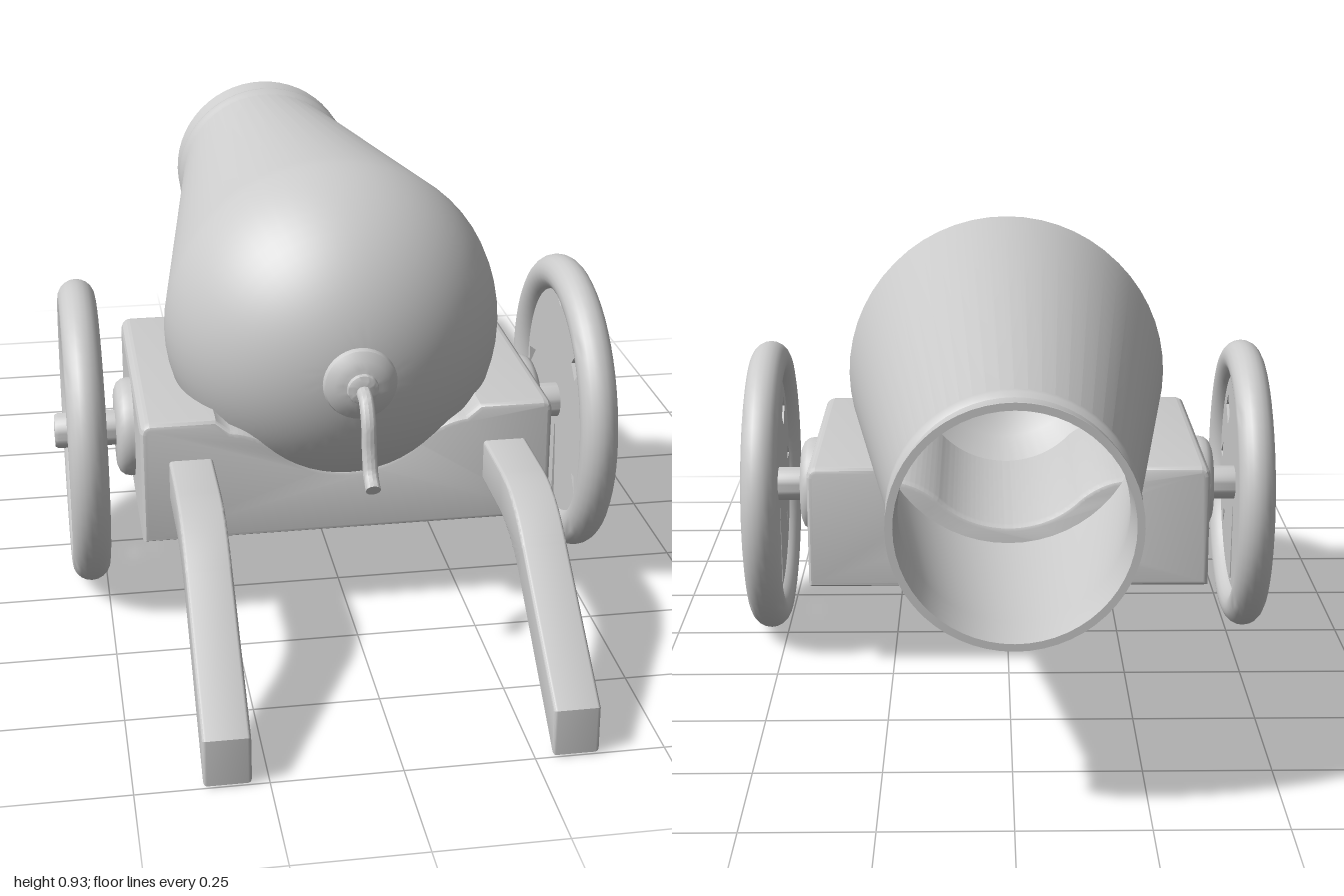
import * as THREE from 'three';
import { toCreasedNormals } from 'three/addons/utils/BufferGeometryUtils.js';

const material = new THREE.MeshStandardMaterial({ color: 0xcccccc, side: THREE.DoubleSide });
const AXIS_Y = 0.578;
const WHEEL = { x: 0.535, y: 0.332, z: 0.095 };

function add(parent, name, geometry, crease = 0.6) {
  const mesh = new THREE.Mesh(toCreasedNormals(geometry, crease), material);
  mesh.name = name;
  parent.add(mesh);
  return mesh;
}

const vectors = (pairs) => pairs.map(([x, y]) => new THREE.Vector2(x, y));

// Extrusion centred on its depth, with a bevel kept inside the outline
function slab(shape, depth, bevel = 0, bevelDepth = bevel) {
  const geometry = new THREE.ExtrudeGeometry(shape, {
    depth: depth - 2 * bevelDepth, bevelEnabled: bevel > 0, bevelSize: bevel,
    bevelThickness: bevelDepth, bevelOffset: -bevel, bevelSegments: 3, curveSegments: 48,
  });
  return geometry.translate(0, 0, -depth / 2 + bevelDepth);
}

// Turned body: hollow bore, muzzle ring, taper and round breech
function buildBarrel(group) {
  const profile = [
    [0, 0.4], [0.2, 0.33], [0.3, 0.2], [0.32, 0.1], [0.207, -0.9], [0.212, -1],
    [0.226, -1], [0.226, -0.99], [0.219, -0.975], [0.219, -0.935],
    [0.227, -0.925], [0.229, -0.913], [0.225, -0.9], [0.22, -0.89],
  ];
  const start = 0.12;
  for (let i = 0; i <= 20; i++) {
    const a = start * -1 + (Math.PI / 2 + start) * (i / 20);
    if (a < 0) continue;
    profile.push([Math.max(0, 0.358 * Math.cos(a)), 0.13 + 0.36 * Math.sin(a)]);
  }
  const barrel = add(group, 'barrel', new THREE.LatheGeometry(vectors(profile), 56).rotateX(Math.PI / 2));
  barrel.position.y = AXIS_Y;

  const knob = [
    [0.05, 0.47], [0.055, 0.492], [0.07, 0.497], [0.075, 0.507], [0.072, 0.517],
    [0.055, 0.53], [0.04, 0.535], [0.032, 0.537], [0.03, 0.545], [0.022, 0.549], [0, 0.549],
  ];
  const cap = add(group, 'breechKnob', new THREE.LatheGeometry(vectors(knob), 32).rotateX(Math.PI / 2));
  cap.position.y = AXIS_Y;

  // Drooping fuse
  const path = new THREE.CatmullRomCurve3([
    [0.535, 0.575], [0.575, 0.568], [0.602, 0.535], [0.615, 0.475], [0.632, 0.435], [0.66, 0.417],
  ].map(([z, y]) => new THREE.Vector3(0, y, z)));
  add(group, 'fuse', new THREE.TubeGeometry(path, 28, 0.015, 12));
  const end = add(group, 'fuseEnd', new THREE.CircleGeometry(0.015, 12));
  end.position.copy(path.getPoint(1));
  end.lookAt(end.position.clone().add(path.getTangent(1)));
}

// Bed with a saddle cut for the barrel
function buildBed(group) {
  const shape = new THREE.Shape();
  shape.moveTo(-0.43, 0.195);
  shape.lineTo(0.43, 0.195);
  shape.lineTo(0.43, 0.435);
  shape.quadraticCurveTo(0.43, 0.462, 0.405, 0.462);
  shape.lineTo(0.275, 0.462);
  shape.lineTo(0.245, 0.437);
  shape.quadraticCurveTo(0.195, 0.432, 0.15, 0.395);
  shape.quadraticCurveTo(0.09, 0.335, 0, 0.333);
  shape.quadraticCurveTo(-0.09, 0.335, -0.15, 0.395);
  shape.quadraticCurveTo(-0.195, 0.432, -0.245, 0.437);
  shape.lineTo(-0.275, 0.462);
  shape.lineTo(-0.405, 0.462);
  shape.quadraticCurveTo(-0.43, 0.462, -0.43, 0.435);
  const bed = add(group, 'carriageBed', slab(shape, 0.62, 0.012, 0.02));
  bed.position.z = 0.08;
}

// Bent trail leg, drawn as a side profile of z and y
function buildTrail(group, side) {
  const shape = new THREE.Shape();
  shape.moveTo(0.36, 0.29);
  shape.lineTo(0.55, 0.29);
  shape.quadraticCurveTo(0.64, 0.285, 0.72, 0.222);
  shape.lineTo(1, 0.01);
  shape.lineTo(1, 0.105);
  shape.lineTo(0.73, 0.305);
  shape.quadraticCurveTo(0.64, 0.38, 0.54, 0.38);
  shape.lineTo(0.36, 0.38);
  const leg = add(group, side > 0 ? 'leftTrail' : 'rightTrail', slab(shape, 0.09, 0.007).rotateY(-Math.PI / 2));
  leg.position.x = side * 0.328;
}

// Wheel: round rim and a thin disc pierced by small openings
function buildWheel(group, side) {
  const wheel = new THREE.Group();
  wheel.name = side > 0 ? 'leftWheel' : 'rightWheel';
  wheel.position.set(side * WHEEL.x, WHEEL.y, WHEEL.z);
  group.add(wheel);

  add(wheel, 'rim', new THREE.TorusGeometry(0.286, 0.04, 20, 56).rotateY(Math.PI / 2), 1);

  const disc = new THREE.Shape().absarc(0, 0, 0.27, 0, Math.PI * 2, false);
  const openings = [
    [[0.105, 0.13], [0.135, 0.1], [0.17, 0.14], [0.145, 0.17]],
    [[0.205, 0], [0.245, 0.005], [0.21, 0.035]],
    [[-0.185, 0.045], [-0.235, 0.035], [-0.235, -0.01]],
    [[0.145, -0.115], [0.165, -0.115], [0.175, -0.155]],
    [[-0.145, -0.115], [-0.165, -0.115], [-0.175, -0.155]],
    [[-0.02, 0.235], [0.01, 0.235], [0, 0.222]],
    [[0.004, -0.06], [0.018, -0.24], [-0.002, -0.24], [-0.004, -0.06]],
  ];
  for (const corners of openings) disc.holes.push(new THREE.Path(vectors(corners)));
  add(wheel, 'disc', slab(disc, 0.03).rotateY(-Math.PI / 2));
}

// Rounded boss and axle stub on each side of the bed
function buildAxle(group, side) {
  const turned = (points) => new THREE.LatheGeometry(vectors(points), 32).rotateZ(-side * Math.PI / 2);
  const boss = add(group, side > 0 ? 'leftBoss' : 'rightBoss', turned([
    [0.107, 0.4], [0.107, 0.437], [0.104, 0.45], [0.096, 0.46], [0.082, 0.466], [0, 0.467],
  ]));
  const axle = add(group, side > 0 ? 'leftAxle' : 'rightAxle', turned([
    [0.038, 0.45], [0.038, 0.59], [0.034, 0.597], [0, 0.598],
  ]));
  for (const part of [boss, axle]) part.position.set(0, WHEEL.y, WHEEL.z);
}

export function createModel() {
  const group = new THREE.Group();
  group.name = 'cannon';
  buildBarrel(group);
  buildBed(group);
  for (const side of [1, -1]) {
    buildTrail(group, side);
    buildAxle(group, side);
    buildWheel(group, side);
  }
  return group;
}
